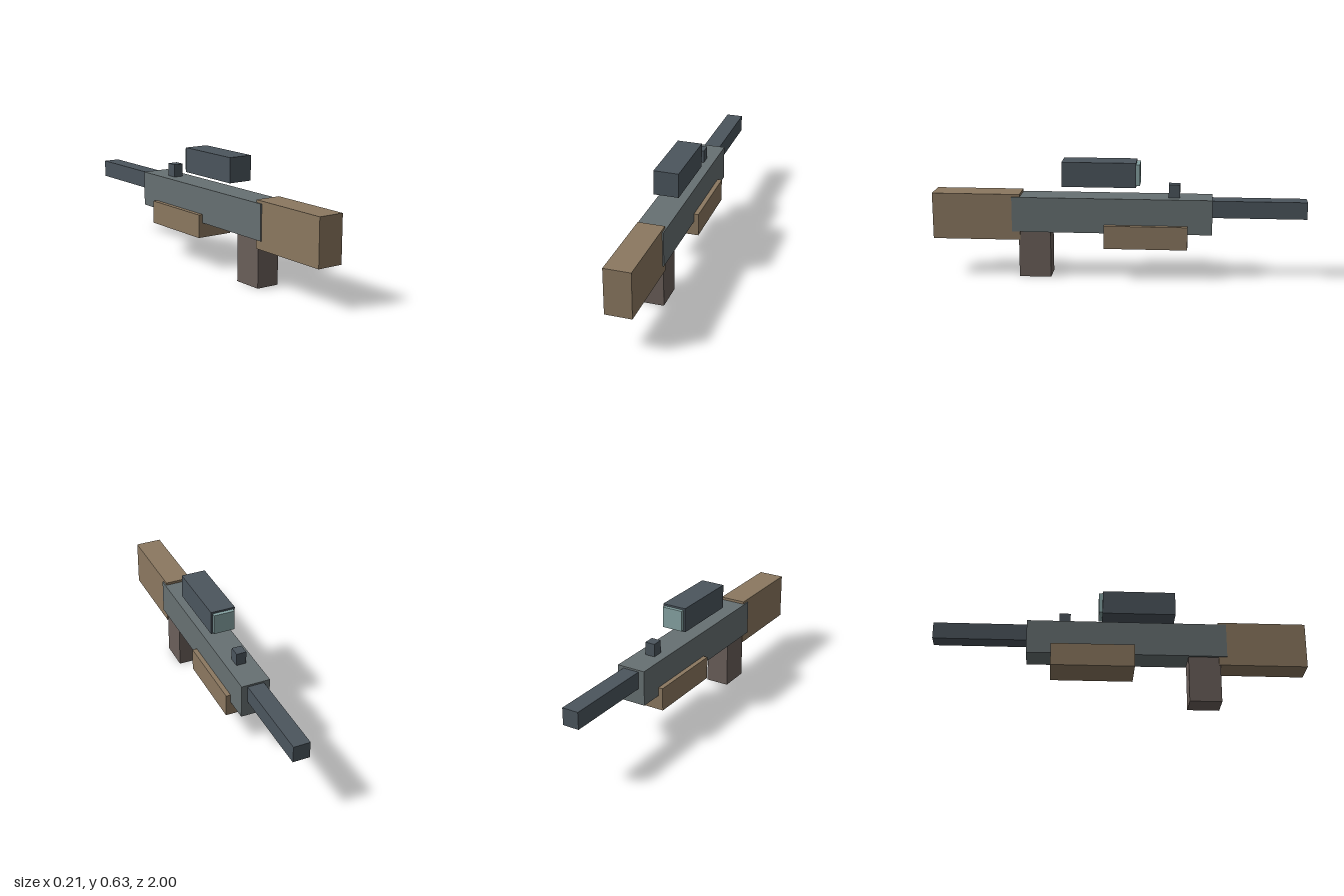
import * as THREE from 'three';

const material = (color) => new THREE.MeshStandardMaterial({ color });

export function createModel() {
  const group = new THREE.Group();
  const steel = material(0x4b555d);
  const metal = material(0x677072);
  const wood = material(0x8b7860);
  const gripBrown = material(0x6a5f5a);
  const glass = material(0x86a3a3);

  // Box centred on x, given its width and its y and z ranges
  const block = (name, mat, width, [y0, y1], [z0, z1]) => {
    const mesh = new THREE.Mesh(new THREE.BoxGeometry(width, y1 - y0, z1 - z0), mat);
    mesh.name = name;
    mesh.position.set(0, (y0 + y1) / 2, (z0 + z1) / 2);
    group.add(mesh);
  };

  // Body, running from the butt (+z) to the muzzle (-z)
  block('stock', wood, 0.142, [0.207, 0.457], [0.527, 1]);
  block('receiver', metal, 0.156, [0.254, 0.443], [-0.5, 0.57]);
  block('barrel', steel, 0.09, [0.341, 0.433], [-1, -0.49]);
  block('handguard', wood, 0.206, [0.175, 0.3], [-0.37, 0.075]);
  block('grip', gripBrown, 0.128, [0, 0.26], [0.364, 0.535]);

  // Sighting parts
  block('scope', steel, 0.134, [0.502, 0.635], [-0.095, 0.3]);
  block('scopeLens', glass, 0.114, [0.512, 0.625], [-0.115, -0.085]);
  block('frontSight', steel, 0.054, [0.44, 0.513], [-0.327, -0.267]);

  return group;
}
